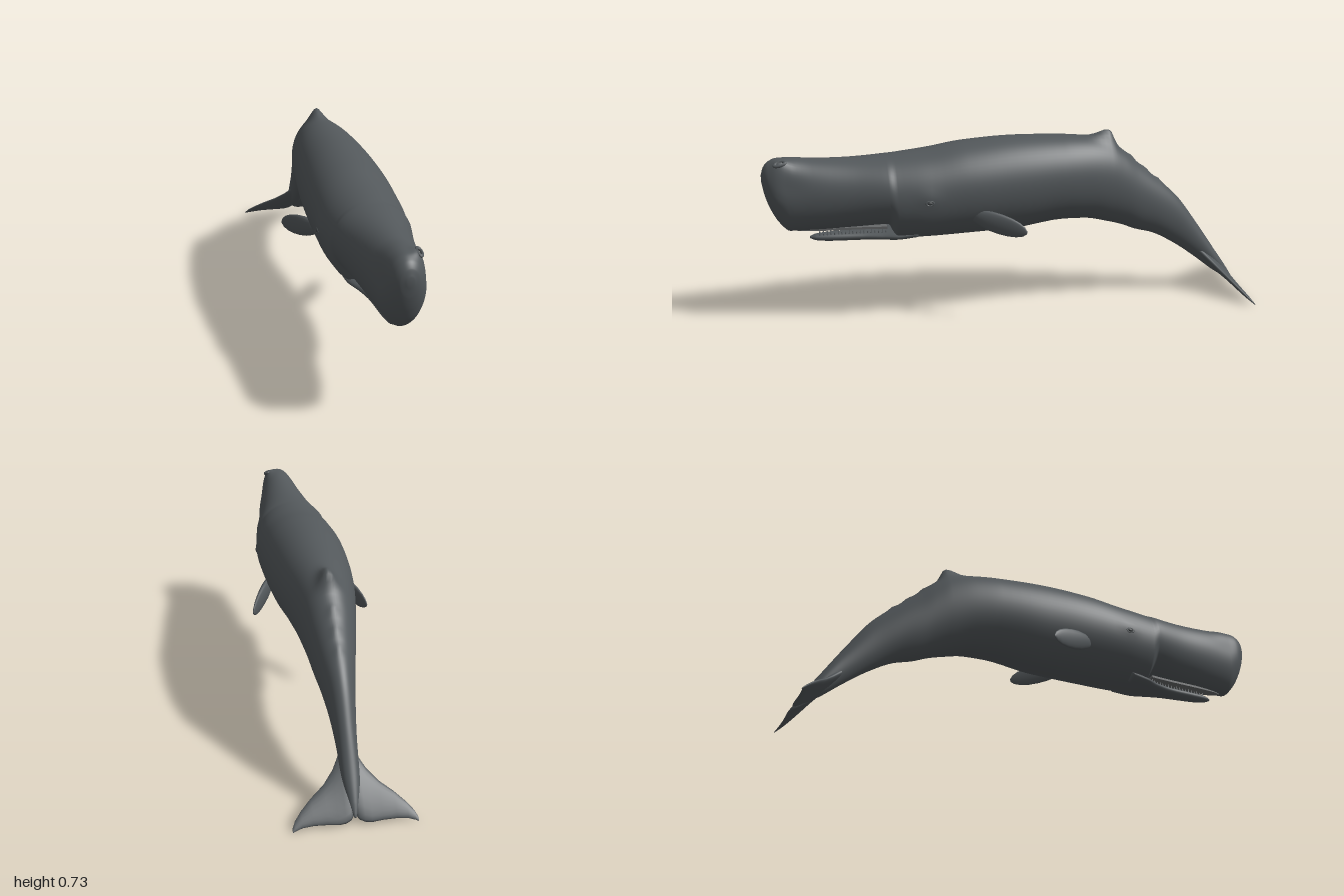
import * as THREE from 'three';

const skin = new THREE.MeshStandardMaterial({ color: 0x53585b });
skin.name = 'slate skin';
const lining = new THREE.MeshStandardMaterial({ color: 0x666869 });
lining.name = 'mouth lining';
const dark = new THREE.MeshStandardMaterial({ color: 0x3c4042 });
dark.name = 'dark eye';

const V = (x, y, z) => new THREE.Vector3(x, y, z);
const bell = (t, width) => Math.exp(-((t / width) ** 2));

// Skin a list of closed rings and cap both ends; side -1 mirrors across x
function loft(rings, side = 1) {
  const n = rings[0].length, pos = [], index = [];
  const tri = (a, b, c) => (side > 0 ? index.push(a, b, c) : index.push(a, c, b));
  rings.forEach(r => r.forEach(p => pos.push(p.x * side, p.y, p.z)));
  for (let i = 0; i < rings.length - 1; i++) {
    for (let j = 0; j < n; j++) {
      const a = i * n + j, b = i * n + (j + 1) % n;
      tri(a, a + n, b);
      tri(b, a + n, b + n);
    }
  }
  [0, rings.length - 1].forEach((i, end) => {
    const mid = rings[i].reduce((s, p) => s.add(p), V(0, 0, 0)).divideScalar(n);
    const m = pos.length / 3;
    pos.push(mid.x * side, mid.y, mid.z);
    for (let j = 0; j < n; j++) {
      const a = i * n + j, b = i * n + (j + 1) % n;
      if (end) tri(m, b, a); else tri(m, a, b);
    }
  });
  const g = new THREE.BufferGeometry();
  g.setAttribute('position', new THREE.Float32BufferAttribute(pos, 3));
  g.setIndex(index);
  g.computeVertexNormals();
  return g;
}

// Smooth interpolation without overshoot through rows [z, ...values], z descending
function sample(rows, z) {
  let i = 0;
  while (i < rows.length - 2 && z < rows[i + 1][0]) i++;
  const slope = (k, c) => (rows[k + 1][c] - rows[k][c]) / (rows[k + 1][0] - rows[k][0]);
  const tangent = (k, c) => {
    if (k === 0) return slope(0, c);
    if (k === rows.length - 1) return slope(k - 1, c);
    const a = slope(k - 1, c), b = slope(k, c);
    return a * b <= 0 ? 0 : 2 * a * b / (a + b);
  };
  const h = rows[i + 1][0] - rows[i][0], t = (z - rows[i][0]) / h;
  return rows[i].slice(1).map((v, k) => {
    const c = k + 1, t2 = t * t, t3 = t2 * t;
    return v * (2 * t3 - 3 * t2 + 1) + rows[i + 1][c] * (3 * t2 - 2 * t3)
      + h * (tangent(i, c) * (t3 - 2 * t2 + t) + tangent(i + 1, c) * (t3 - t2));
  });
}

// Upright rings along z from rows [z, top, bottom, halfWidth]
function hull(rows, steps, sides, shape = p => p) {
  const rings = [];
  for (let i = 0; i < rows.length - 1; i++) {
    for (let s = 0; s < steps || (i === rows.length - 2 && s === steps); s++) {
      const z = THREE.MathUtils.lerp(rows[i][0], rows[i + 1][0], s / steps);
      const [top, bottom, w] = sample(rows, z), mid = bottom + (top - bottom) * 0.52;
      rings.push(Array.from({ length: sides }, (_, j) => {
        const a = j / sides * Math.PI * 2, sn = Math.sin(a);
        return shape(V(w * Math.cos(a), mid + sn * (sn > 0 ? top - mid : mid - bottom), z));
      }));
    }
  }
  return rings;
}

// Flat fin from sections { c: centre, chord, thick } across span direction s
function blade(sections, u, s, sides = 20) {
  const v = u.clone().cross(s);
  return sections.map(({ c, chord, thick }) => Array.from({ length: sides }, (_, j) => {
    const a = j / sides * Math.PI * 2;
    return c.clone().addScaledVector(u, chord * Math.cos(a)).addScaledVector(v, thick * Math.sin(a));
  }));
}

export function createModel() {
  const whale = new THREE.Group();
  whale.name = 'whale';
  const add = (name, geometry, material = skin, parent = whale) => {
    const m = new THREE.Mesh(geometry, material);
    m.name = name;
    parent.add(m);
    return m;
  };

  // Head, trunk and tail stock
  const bodyRows = [
    [1, 0.63, 0.6, 0.012], [0.99, 0.66, 0.545, 0.038], [0.97, 0.682, 0.485, 0.06],
    [0.94, 0.694, 0.43, 0.076], [0.9, 0.695, 0.393, 0.087], [0.8, 0.685, 0.393, 0.103],
    [0.65, 0.68, 0.397, 0.125], [0.515, 0.684, 0.402, 0.152], [0.48, 0.687, 0.342, 0.158],
    [0.35, 0.7, 0.338, 0.171], [0.2, 0.722, 0.341, 0.172], [0, 0.732, 0.347, 0.163],
    [-0.2, 0.725, 0.37, 0.143], [-0.3, 0.715, 0.366, 0.128], [-0.4, 0.69, 0.343, 0.11],
    [-0.46, 0.65, 0.325, 0.098], [-0.52, 0.595, 0.3, 0.086], [-0.6, 0.525, 0.276, 0.07],
    [-0.7, 0.435, 0.22, 0.051], [-0.8, 0.3, 0.147, 0.038], [-0.88, 0.182, 0.083, 0.033],
    [-0.95, 0.078, 0.038, 0.016], [-0.975, 0.035, 0.026, 0.004]];
  // Dorsal hump, knuckles behind it, blowhole swelling and brow hollows
  const sculpt = p => {
    const [top, bottom] = sample(bodyRows, p.z);
    if (p.y > (top + bottom) / 2) {
      const d = p.z + 0.405;
      p.y += bell(p.x, 0.032) * 0.047 * bell(d, d > 0 ? 0.06 : 0.022);
      [-0.5, -0.56, -0.62].forEach(k => { p.y += bell(p.x, 0.02) * 0.008 * bell(p.z - k, 0.016); });
      p.y += 0.02 * bell(p.x - 0.05, 0.025) * bell(p.z - 0.925, 0.035);
    }
    p.x *= 1 - 0.07 * bell(p.z - 0.9, 0.07) * bell(p.y - 0.6, 0.05);
    p.x *= 1 + 0.025 * bell(p.z - 0.36, 0.035) * bell(p.y - 0.545, 0.03);
    return p;
  };
  add('body', loft(hull(bodyRows, 5, 64, sculpt)));

  // Narrow lower jaw, hinged under the head
  const jawRows = [
    [0.825, 0.361, 0.354, 0.006], [0.8, 0.37, 0.344, 0.019], [0.74, 0.374, 0.338, 0.028],
    [0.62, 0.375, 0.336, 0.04], [0.54, 0.377, 0.336, 0.062], [0.48, 0.385, 0.337, 0.088],
    [0.4, 0.4, 0.345, 0.1]];
  add('lowerJaw', loft(hull(jawRows, 5, 28)));

  // Palate strip on the underside of the head
  const palate = new THREE.Shape();
  palate.moveTo(0, -0.88);
  palate.bezierCurveTo(0.035, -0.87, 0.03, -0.65, 0.055, -0.52);
  palate.lineTo(-0.055, -0.52);
  palate.bezierCurveTo(-0.03, -0.65, -0.035, -0.87, 0, -0.88);
  const palateMesh = add('palate', new THREE.ExtrudeGeometry(palate, { depth: 0.009, bevelEnabled: false }), lining);
  palateMesh.rotation.x = -Math.PI / 2;
  palateMesh.position.y = 0.391;

  // Two rows of small teeth on the jaw
  const teeth = new THREE.Group();
  teeth.name = 'teeth';
  whale.add(teeth);
  const toothGeometry = new THREE.ConeGeometry(0.005, 0.022, 8);
  for (let i = 0; i < 19; i++) {
    const z = 0.785 - i * 0.0145, [top, , w] = sample(jawRows, z);
    for (const side of [1, -1]) {
      add('tooth', toothGeometry, skin, teeth).position.set(side * w * 0.65, top - 0.001, z);
    }
  }

  // Paired pectoral flippers, tail flukes and eyes
  const span = V(0.09, -0.05, -0.18).normalize();
  const chordDir = V(0.1, 0.9, -0.2).normalize();
  const flipper = [[-0.08, 0.022, 0.012], [0.05, 0.033, 0.016], [0.25, 0.041, 0.017],
    [0.45, 0.043, 0.015], [0.65, 0.04, 0.012], [0.82, 0.032, 0.009], [0.94, 0.02, 0.006],
    [1, 0.006, 0.003]].map(([t, chord, thick]) => ({
    c: V(0.145, 0.45, 0.17).lerp(V(0.235, 0.4, -0.013), t), chord, thick }));
  const flukeY = z => 0.195 - 0.98 * (-z - 0.8);
  const fluke = [[0, -0.77, -0.962, 0.018], [0.015, -0.785, -0.978, 0.018],
    [0.035, -0.81, -0.985, 0.016], [0.06, -0.845, -0.987, 0.013], [0.1, -0.882, -0.984, 0.011],
    [0.15, -0.913, -0.983, 0.009], [0.19, -0.943, -0.986, 0.007], [0.215, -0.967, -0.992, 0.004],
    [0.226, -0.985, -0.996, 0.002]].map(([x, lead, trail, thick]) => {
    const z = (lead + trail) / 2;
    return { c: V(x, flukeY(z), z), chord: (lead - trail) * 0.7, thick };
  });
  for (const side of [1, -1]) {
    const label = side > 0 ? 'left' : 'right';
    add(label + 'Flipper', loft(blade(flipper, chordDir, span), side));
    add(label + 'Fluke', loft(blade(fluke, V(0, 0.98, 1).normalize(), V(1, 0, 0)), side));
    const eye = add(label + 'Eye', new THREE.SphereGeometry(0.009, 16, 10), dark);
    eye.scale.set(0.5, 0.7, 1.2);
    eye.position.set(side * 0.173, 0.527, 0.36);
    const lid = add(label + 'Eyelid', new THREE.TorusGeometry(0.012, 0.004, 8, 24));
    lid.scale.set(1.2, 0.8, 1);
    lid.rotation.y = Math.PI / 2;
    lid.position.set(side * 0.171, 0.527, 0.36);
  }

  // Single blowhole, offset to the left of the snout
  const blowhole = add('blowhole', new THREE.TorusGeometry(0.016, 0.006, 10, 28));
  blowhole.scale.set(0.7, 1.3, 1);
  blowhole.rotation.set(-Math.PI / 2 + 0.25, 0.45, 0);
  blowhole.position.set(0.05, 0.684, 0.925);
  return whale;
}
